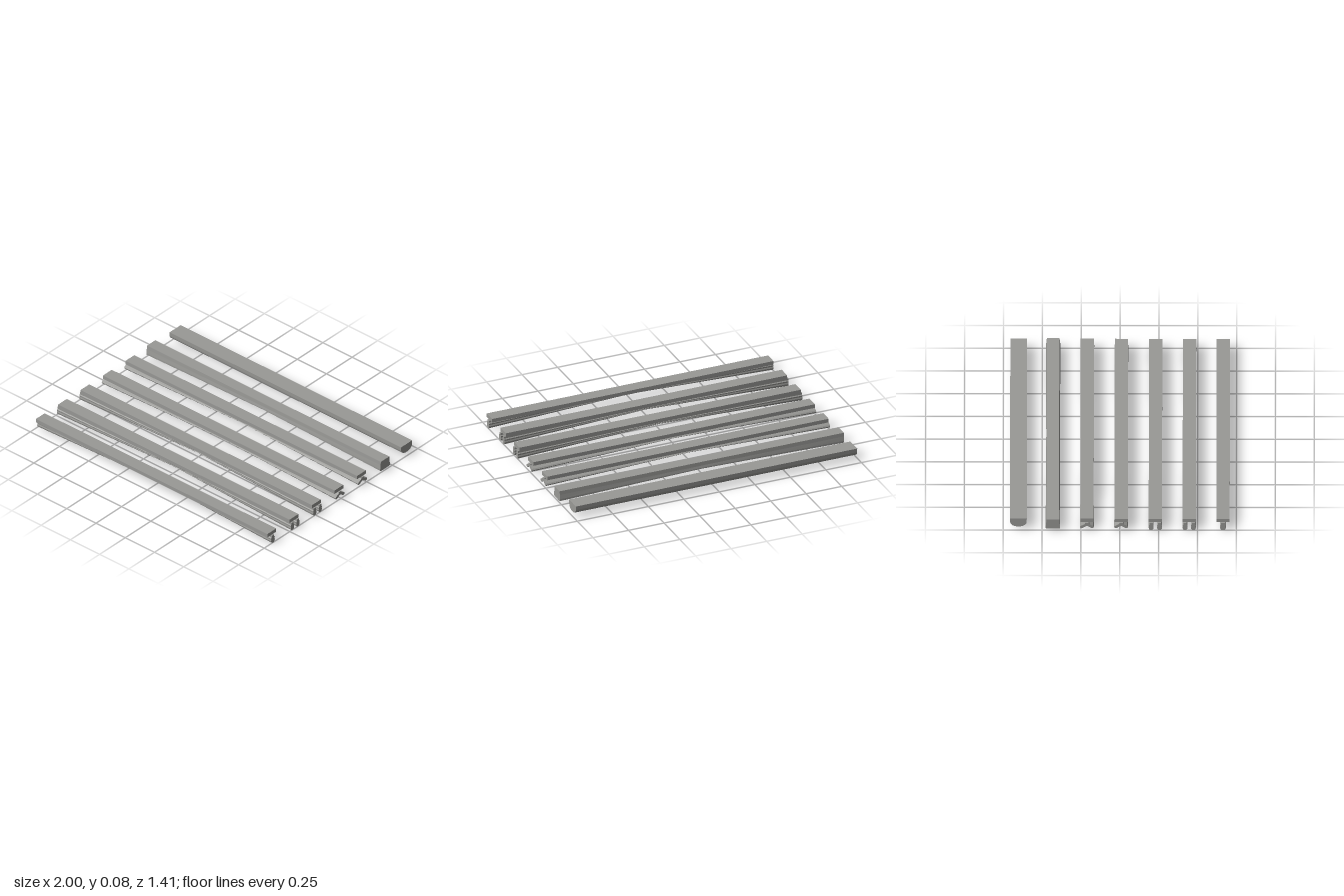
import * as THREE from 'three';

const TOP = 0.083, SEAM = 0.057; // top face and underside of the cap plates

// Mirror a half outline (z offset, y) about its centre line
function mirrored(half) {
  const other = half.map(([a, b]) => [-a, b]).reverse();
  return [...half, ...other];
}

// Extrude an outline along x, then let the part below the seam shrink towards mid-span
function bar(outline, halfLength, zc, midDepth = 1, midWidth = 1) {
  const shape = new THREE.Shape(outline.map(([a, b]) => new THREE.Vector2(a, b)));
  const geo = new THREE.ExtrudeGeometry(shape, {
    depth: halfLength * 2, steps: 8, bevelEnabled: false,
  });
  geo.rotateY(Math.PI / 2).translate(-halfLength, 0, 0);
  const p = geo.attributes.position;
  for (let i = 0; i < p.count; i++) {
    const t = Math.abs(p.getX(i)) / halfLength;
    const y = p.getY(i);
    if (y < SEAM) p.setY(i, SEAM - (SEAM - y) * (midDepth + (1 - midDepth) * t));
    p.setZ(i, zc + p.getZ(i) * (midWidth + (1 - midWidth) * t));
  }
  geo.computeVertexNormals();
  return geo;
}

export function createModel() {
  const model = new THREE.Group();
  const grey = new THREE.MeshStandardMaterial({ color: 0x999996 });
  grey.name = 'stone grey';

  const add = (parent, name, geo) => {
    const mesh = new THREE.Mesh(geo, grey);
    mesh.name = name;
    parent.add(mesh);
  };
  const group = (name) => {
    const g = new THREE.Group();
    g.name = name;
    model.add(g);
    return g;
  };
  const addCap = (parent, z) => {
    const cap = new THREE.BoxGeometry(1.98, TOP - SEAM, 0.086);
    cap.translate(0, (TOP + SEAM) / 2, z);
    add(parent, 'capPlate', cap);
  };

  // Knobbly stem outline, shared by the single and paired legs
  const leg = mirrored([
    [0.012, SEAM], [0.012, 0.044], [0.018, 0.038], [0.016, 0.028],
    [0.019, 0.018], [0.015, 0.006], [0.006, 0],
  ].reverse());

  // Front bar with one stem
  const tBar = group('singleStemBar');
  addCap(tBar, 0.664);
  add(tBar, 'stem', bar(leg, 1, 0.664, 0.3, 0.8));

  // Two bars with paired legs
  for (const z of [0.447, 0.229]) {
    const g = group('pairedLegBar');
    addCap(g, z);
    for (const side of [-1, 1]) {
      const outline = leg.map(([a, b]) => [a * 0.86 + side * 0.027, b]);
      add(g, 'leg', bar(outline, 1, z, 0.3, 0.85));
    }
  }

  // Two bars with splayed arms
  const arms = mirrored([
    [0, 0.034], [0.016, 0.025], [0.03, 0.015], [0.041, 0.017], [0.045, 0.026],
    [0.039, 0.034], [0.018, 0.045], [0.011, 0.052], [0.011, SEAM],
  ]).slice(0, -1);
  for (const z of [0.009, -0.211]) {
    const g = group('splayedArmBar');
    addCap(g, z);
    add(g, 'arms', bar(arms, 1, z, 0.35, 0.85));
  }

  // Solid block bar, flared at its ends
  const block = mirrored([
    [0.04, 0.011], [0.047, 0.016], [0.047, 0.028], [0.043, SEAM], [0.041, TOP],
  ]);
  add(group('blockBar'), 'block', bar(block, 1, -0.43, 0.5, 0.93));

  // Half-round bar at the back
  const round = [[0.054, TOP], [-0.054, TOP]];
  for (let i = 0; i <= 12; i++) {
    const a = Math.PI + (i / 12) * Math.PI;
    round.push([0.053 * Math.cos(a), SEAM + 0.036 * Math.sin(a)]);
  }
  add(group('halfRoundBar'), 'halfRound', bar(round, 0.99, -0.652));

  return model;
}
